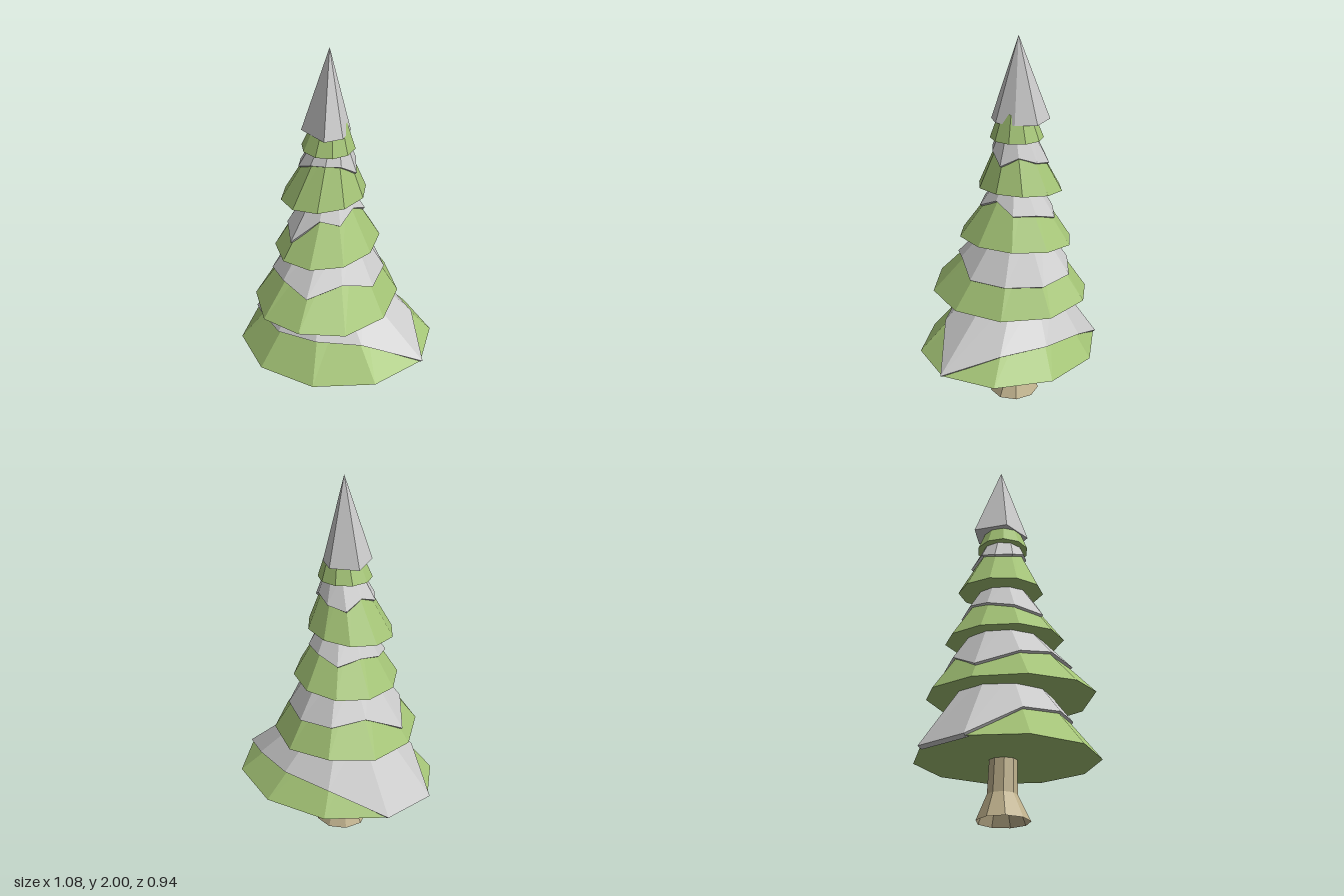
import * as THREE from 'three';

const CORNERS = 10;
const material = (color, side = THREE.FrontSide) =>
  new THREE.MeshStandardMaterial({ color, side, flatShading: true });

// Faceted skin through rings of [x, y, z] corners, listed bottom to top.
function loft(name, rings, mat, capped = true) {
  const pos = [];
  const tri = (a, b, c) => pos.push(...a, ...b, ...c);
  const n = rings[0].length;
  const middle = (ring) => [0, 1, 2].map((k) => ring.reduce((s, p) => s + p[k], 0) / n);
  const low = rings[0], high = rings[rings.length - 1];
  const lowMid = middle(low), highMid = middle(high);
  for (let i = 0; i < n; i++) {
    const j = (i + 1) % n;
    for (let r = 0; r < rings.length - 1; r++) {
      const a = rings[r], b = rings[r + 1];
      tri(a[i], b[i], a[j]);
      tri(a[j], b[i], b[j]);
    }
    if (capped) {
      tri(low[i], low[j], lowMid);
      tri(high[j], high[i], highMid);
    }
  }
  const geo = new THREE.BufferGeometry();
  geo.setAttribute('position', new THREE.Float32BufferAttribute(pos, 3));
  geo.computeVertexNormals();
  const mesh = new THREE.Mesh(geo, mat);
  mesh.name = name;
  return mesh;
}

// Oval ring starting at the back and turning towards +x; tilt raises its
// +x side, lift raises the front and back corners.
function ring(n, x, y, z, rx, rz, turn = 0, tilt = 0, lift = 0) {
  return Array.from({ length: n }, (_, i) => {
    const a = (i / n) * Math.PI * 2 + turn;
    const dx = rx * Math.sin(a);
    return [x + dx, y + tilt * dx + lift * Math.cos(a) ** 6, z - rz * Math.cos(a)];
  });
}

// Tiers from the ground up. Snow: how far it reaches down at each corner,
// from 0 at the top to 1 at the rim.
const tiers = [
  { x: 0, z: 0, rx: 0.545, rz: 0.47, turn: -0.06, tilt: 0.06, lift: 0, y: 0.305, topY: 0.66, topR: 0.2,
    snow: [0.66, 0.6, 0.66, 1, 0.54, 0.48, 0.52, 0.58, 1, 1] },
  { x: -0.045, z: 0.02, rx: 0.385, rz: 0.435, turn: 0, tilt: 0.01, lift: 0.03, y: 0.605, topY: 0.98, topR: 0.14,
    snow: [0.62, 0.62, 0.6, 0.6, 0.45, 0.62, 0.52, 0.6, 0.8, 0.52] },
  { x: -0.05, z: -0.01, rx: 0.275, rz: 0.31, turn: -0.05, tilt: 0.07, lift: 0, y: 0.93, topY: 1.24, topR: 0.09,
    snow: [0.55, 0.45, 0.45, 0.25, 0.42, 0.34, 0.72, 0.6, 0.52, 0.45] },
  { x: -0.075, z: -0.025, rx: 0.225, rz: 0.225, turn: -0.2, tilt: 0.1, lift: 0, y: 1.205, topY: 1.5, topR: 0.08,
    snow: [0.5, 0.45, 0.35, 0.52, 0.3, 0.26, 0.28, 0.4, 0.42, 0.32] },
  { x: -0.045, z: -0.02, rx: 0.138, rz: 0.138, turn: 0.15, tilt: 0, lift: 0, y: 1.48, topY: 1.62, topR: 0.085 },
];

// Blanket lying on a tier, with an undercut lip along its lower edge.
function snowBlanket(name, rim, crown, reach, { x, z }, mat) {
  const shift = (points, out, up) => points.map((p) => {
    const k = 1 + out / Math.hypot(p[0] - x, p[2] - z);
    return [x + (p[0] - x) * k, p[1] + up, z + (p[2] - z) * k];
  });
  const edge = rim.map((p, i) => p.map((v, k) => THREE.MathUtils.lerp(crown[i][k], v, reach[i])));
  return loft(name, [
    shift(edge, -0.01, -0.008),
    shift(edge, 0.013, 0.006),
    shift(crown, 0.012, 0.015),
  ], mat, false);
}

export function createModel() {
  const tree = new THREE.Group();
  tree.name = 'snowyPine';
  const bark = material(0xc2b48f, THREE.DoubleSide);
  const needles = material(0xa4c476);
  const snow = material(0xcccccc);

  // Open trunk with flared foot
  const trunkRings = [[0, 0.142, -0.017], [0.13, 0.08, -0.022], [0.4, 0.072, -0.015]]
    .map(([y, r, z]) => ring(9, -0.027, y, z, r, r * 0.95, 0.3));
  tree.add(loft('trunk', trunkRings, bark, false));

  // Branch tiers, each with its snow; all crowns sit on the trunk axis
  tiers.forEach((t, i) => {
    const rim = ring(CORNERS, t.x, t.y, t.z, t.rx, t.rz, t.turn, t.tilt, t.lift);
    const crown = ring(CORNERS, -0.035, t.topY, -0.02, t.topR, t.topR, t.turn);
    tree.add(loft(`branchTier${i + 1}`, [rim, crown], needles));
    if (t.snow) tree.add(snowBlanket(`snowTier${i + 1}`, rim, crown, t.snow, t, snow));
  });

  // Pointed snow cap
  const capRim = [[-0.145, -0.16], [0.005, -0.16], [0.06, -0.06], [0.055, 0.05], [-0.02, 0.115], [-0.175, 0.02]]
    .map(([x, z]) => [x, 1.57, z]);
  tree.add(loft('snowCap', [capRim, capRim.map(() => [-0.04, 2, -0.03])], snow));

  return tree;
}
